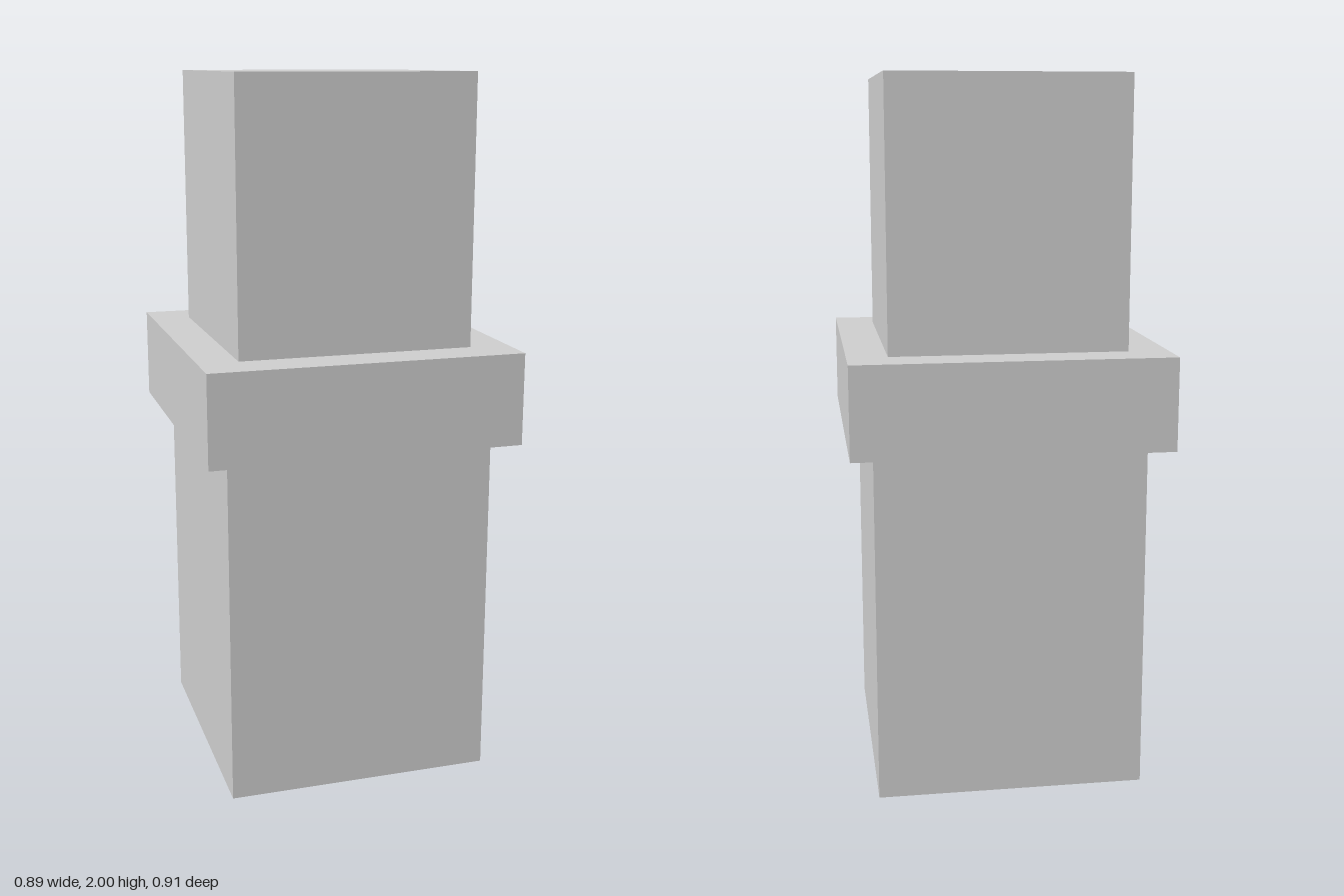
import * as THREE from 'three';

export function createModel() {
  const model = new THREE.Group();
  model.name = 'steppedPost';
  const grey = new THREE.MeshStandardMaterial({ color: 0xcccccc });
  grey.name = 'light grey';

  // A block standing between two heights
  function block(name, width, depth, bottom, top) {
    const mesh = new THREE.Mesh(new THREE.BoxGeometry(width, top - bottom, depth), grey);
    mesh.name = name;
    mesh.position.y = (bottom + top) / 2;
    model.add(mesh);
  }

  block('lowerShaft', 0.757, 0.778, 0, 0.995);
  block('collar', 0.886, 0.913, 0.995, 1.255);
  block('upperShaft', 0.662, 0.675, 1.255, 2);

  return model;
}
